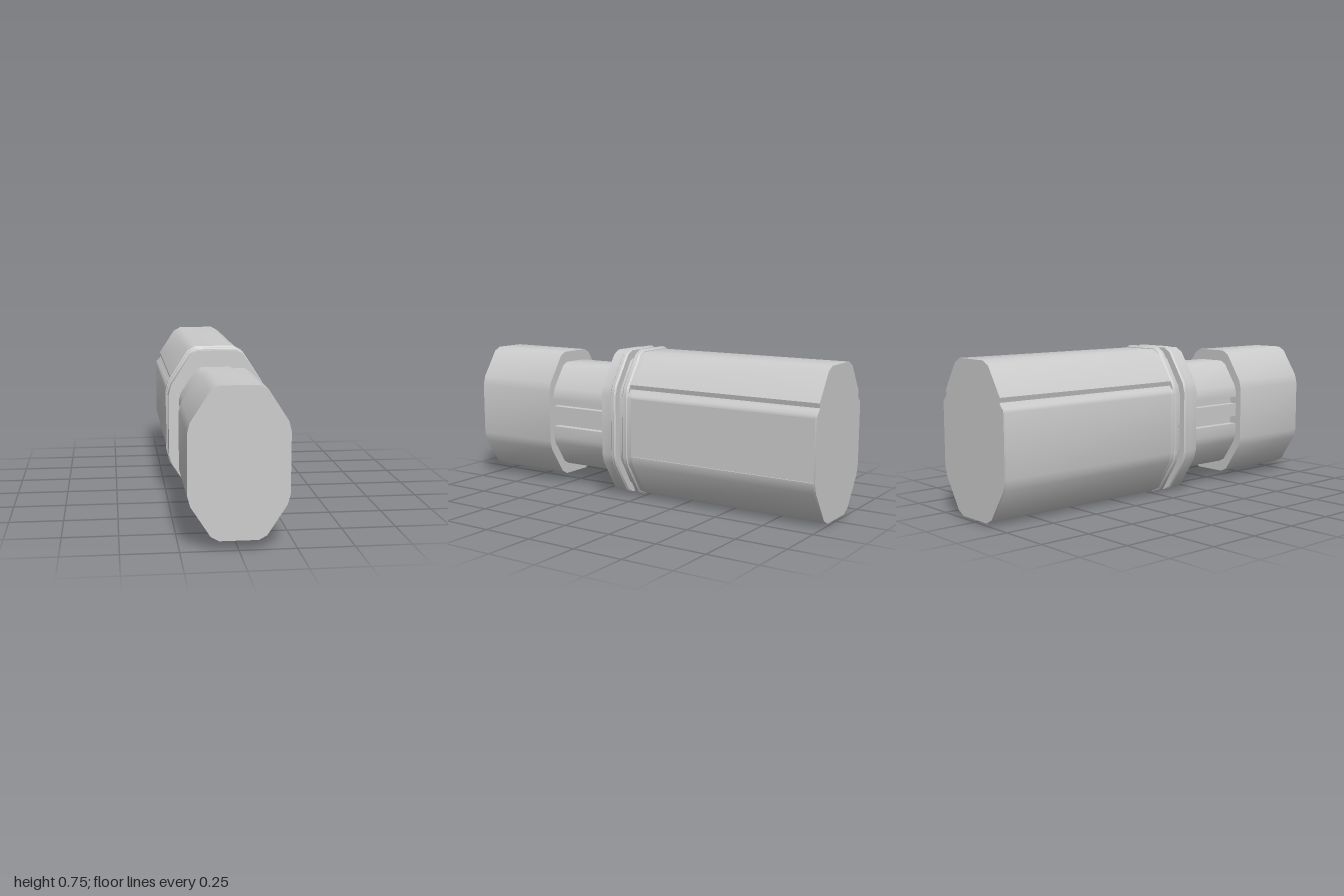
import * as THREE from 'three';
import { toCreasedNormals } from 'three/addons/utils/BufferGeometryUtils.js';

const material = new THREE.MeshStandardMaterial({ color: 0xcccccc });
const CENTRE_Y = 0.375;

// One side of the softened octagon, bottom to top, with notches cut into it.
function sidePoints(hx, hy, notches) {
  const quarter = [[0.388, 1], [0.551, 0.941], [0.947, 0.538], [1, 0.403]];
  const lower = quarter.map(([x, y]) => [x * hx, -y * hy]);
  const upper = quarter.map(([x, y]) => [x * hx, y * hy]).reverse();
  const kept = [...lower, ...upper].filter(([, y]) =>
    notches.every((n) => y < n[0][1] || y > n[n.length - 1][1]));
  return [...kept, ...notches.flat()].sort((a, b) => a[1] - b[1]);
}

// Closed outline; the left side is the mirrored right side unless it has its own notches.
function outline(hx, hy, right = [], left = right) {
  const points = [
    ...sidePoints(hx, hy, right),
    ...sidePoints(hx, hy, left).reverse().map(([x, y]) => [-x, y]),
  ];
  return points.map(([x, y]) => new THREE.Vector2(x, y));
}

// Extrudes an outline between two z positions.
function section(name, points, z0, z1, { bevel = 0, hole = null } = {}) {
  const shape = new THREE.Shape(points);
  if (hole) shape.holes.push(new THREE.Path(hole));
  const geometry = new THREE.ExtrudeGeometry(shape, {
    depth: z1 - z0 - 2 * bevel,
    bevelEnabled: bevel > 0,
    bevelThickness: bevel,
    bevelSize: bevel,
    bevelOffset: -bevel,
    bevelSegments: 1,
  });
  geometry.translate(0, CENTRE_Y, z0 + bevel);
  const mesh = new THREE.Mesh(toCreasedNormals(geometry, 0.6), material);
  mesh.name = name;
  return mesh;
}

export function createModel() {
  const group = new THREE.Group();
  group.name = 'octagonalCanister';

  // Front cap
  group.add(section('frontCap', outline(0.217, 0.33), 0.53, 1));

  // Neck with two slots along each side
  const slot = (y0, y1) => [[0.184, y0], [0.145, y0], [0.145, y1], [0.184, y1]];
  const slots = [slot(-0.055, -0.015), slot(0.052, 0.088)];
  group.add(section('neck', outline(0.184, 0.275, slots), 0.1, 0.53));

  // Collar, flanges and the narrow core between them
  group.add(section('collar', outline(0.24, 0.365), 0.11, 0.17, { hole: outline(0.194, 0.286) }));
  group.add(section('frontFlange', outline(0.246, 0.373), 0.085, 0.115, {
    bevel: 0.007, hole: outline(0.194, 0.286),
  }));
  group.add(section('collarCore', outline(0.208, 0.33), 0, 0.1));
  group.add(section('rearFlange', outline(0.246, 0.373), 0.01, 0.045, { bevel: 0.008 }));

  // Main body: a groove on both sides and a shallow panel on the left side (+x)
  const groove = [[0.238, 0.16], [0.221, 0.176], [0.213, 0.188], [0.218, 0.21]];
  const panel = [[0.242, -0.145], [0.236, -0.145], [0.236, 0.145], [0.242, 0.145]];
  const lip = outline(0.242, 0.362, [groove]);
  const middle = outline(0.242, 0.362, [groove, panel], [groove]);
  group.add(section('bodyFrontLip', lip, -0.01, 0.02));
  group.add(section('body', middle, -0.992, -0.01));
  group.add(section('bodyRearLip', lip, -1, -0.992));

  return group;
}
